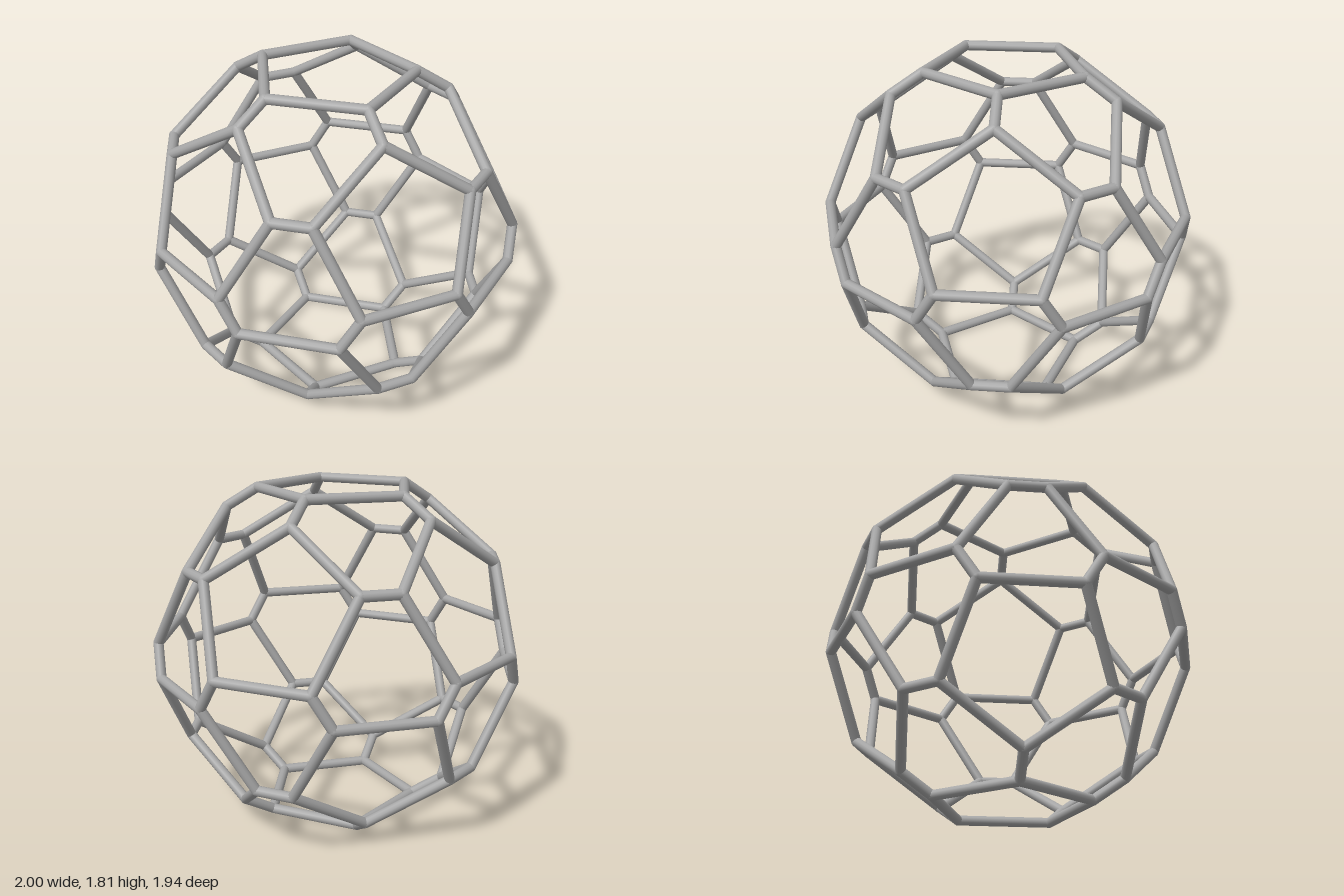
import * as THREE from 'three';

const BAR = 0.027;        // strut radius
const ICO_RADIUS = 1.143; // icosahedron whose corners are cut off
const CUT = 0.418;        // cut position along each edge
const CENTER_Y = 0.906;

export function createModel() {
  const group = new THREE.Group();
  group.name = 'truncatedIcosahedronFrame';
  const metal = new THREE.MeshStandardMaterial({ color: 0xa6a6a6 });
  metal.name = 'grey metal';

  // Icosahedron corners: two poles and two staggered rings of five
  const corners = [new THREE.Vector3(0, ICO_RADIUS, 0), new THREE.Vector3(0, -ICO_RADIUS, 0)];
  const ringY = ICO_RADIUS / Math.sqrt(5);
  for (let i = 0; i < 5; i++) {
    const a = (i * 2 * Math.PI) / 5;
    const x = 2 * ringY * Math.sin(a), z = 2 * ringY * Math.cos(a);
    corners.push(new THREE.Vector3(x, ringY, z), new THREE.Vector3(-x, -ringY, -z));
  }
  const edgeLength = corners[0].distanceTo(corners[2]);
  const near = (a, b) => a !== b && a.distanceTo(b) < edgeLength * 1.1;

  const addStrut = (a, b, name) => {
    const dir = b.clone().sub(a);
    const strut = new THREE.Mesh(new THREE.CylinderGeometry(BAR, BAR, dir.length(), 12, 1, true), metal);
    strut.position.copy(a).add(b).multiplyScalar(0.5);
    strut.quaternion.setFromUnitVectors(new THREE.Vector3(0, 1, 0), dir.normalize());
    strut.name = name;
    group.add(strut);
  };

  const jointGeometry = new THREE.SphereGeometry(BAR * 1.02, 12, 8);
  for (const corner of corners) {
    // Points where the five edges of this corner are cut
    const rim = corners.filter((c) => near(corner, c)).map((c) => ({ end: c, point: corner.clone().lerp(c, CUT) }));
    rim.forEach(({ end, point }, i) => {
      const joint = new THREE.Mesh(jointGeometry, metal);
      joint.position.copy(point);
      joint.name = 'joint';
      group.add(joint);
      // Pentagon sides
      for (const other of rim.slice(i + 1)) {
        if (near(end, other.end)) addStrut(point, other.point, 'pentagonStrut');
      }
      // Short link to the neighbouring pentagon
      if (corners.indexOf(corner) < corners.indexOf(end)) {
        addStrut(point, end.clone().lerp(corner, CUT), 'linkStrut');
      }
    });
  }

  group.position.y = CENTER_Y;
  return group;
}
